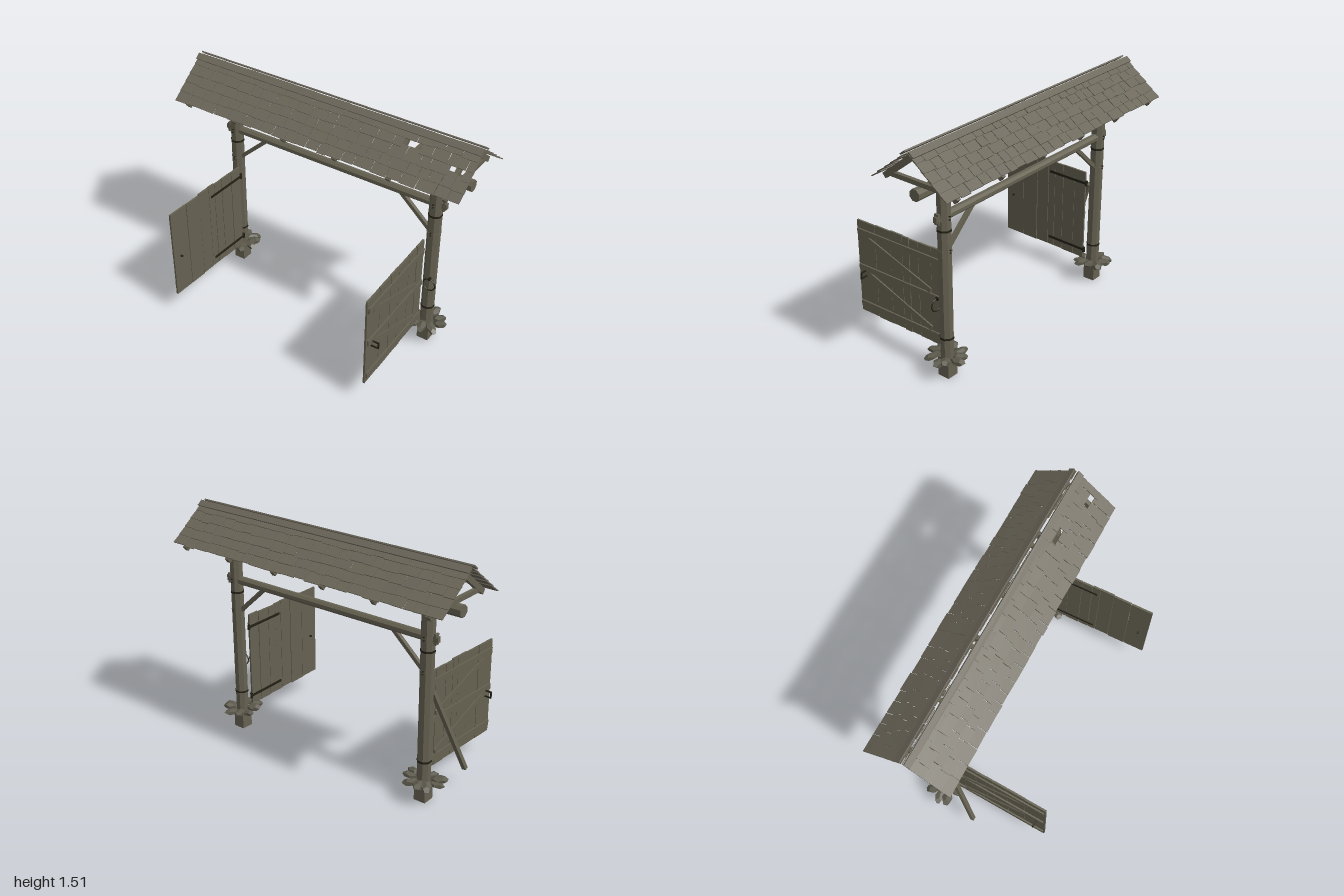
import * as THREE from 'three';

const mat = (name, color) => {
  const m = new THREE.MeshStandardMaterial({ color, flatShading: true });
  m.name = name;
  return m;
};

export function createModel() {
  const wood = mat('weathered wood', 0x656151);
  const shingleWood = mat('grey shingle wood', 0x6b6659);
  const stone = mat('stone', 0x5c594c);
  const iron = mat('dark iron', 0x222015);
  const root = new THREE.Group();
  root.name = 'gateway';
  const Z = -0.223; // plane of posts and ridge

  let seed = 7;
  const rnd = () => (seed = (seed * 16807) % 2147483647) / 2147483647;
  const jit = (a) => (rnd() - 0.5) * 2 * a;

  const group = (name, parent) => {
    const g = new THREE.Group();
    g.name = name;
    parent.add(g);
    return g;
  };
  const add = (parent, name, geo, m, x = 0, y = 0, z = 0) => {
    const mesh = new THREE.Mesh(geo, m);
    mesh.name = name;
    mesh.position.set(x, y, z);
    parent.add(mesh);
    return mesh;
  };
  const box = (parent, name, m, w, h, d, x, y, z) =>
    add(parent, name, new THREE.BoxGeometry(w, h, d), m, x, y, z);
  // Square timber running between two points
  const timber = (parent, name, m, a, b, w, d) => {
    const p = new THREE.Vector3(...a), q = new THREE.Vector3(...b);
    const mesh = box(parent, name, m, w, p.distanceTo(q), d, 0, 0, 0);
    mesh.position.copy(p).lerp(q, 0.5);
    mesh.quaternion.setFromUnitVectors(new THREE.Vector3(0, 1, 0), q.sub(p).normalize());
    return mesh;
  };
  // Eight-sided log with flats facing the axes
  const log = (r, len) => new THREE.CylinderGeometry(r, r, len, 8).rotateY(Math.PI / 8);

  // Horizontal beams
  add(root, 'topBeam', log(0.037, 1.9).rotateZ(Math.PI / 2), wood, 0, 1.24, Z);
  add(root, 'crossBeam', log(0.027, 1.42).rotateZ(Math.PI / 2), wood, 0, 1.035, Z);

  // One side of the gateway, built at +x and mirrored for the other
  const buildSide = (sign) => {
    const side = group(sign > 0 ? 'leftSide' : 'rightSide', root);
    side.scale.x = sign;

    add(side, 'post', log(0.042, 1.105), wood, 0.73, 0.6525, Z);
    box(side, 'postFoot', wood, 0.077, 0.13, 0.08, 0.73, 0.065, Z);
    for (const y of [0.26, 0.955])
      add(side, 'postBand', log(0.0445, 0.012), iron, 0.73, y, Z);
    add(side, 'postCollar', log(0.0445, 0.012), wood, 0.73, 0.828, Z);
    for (const y of [0.822, 0.838, 1.025, 1.045])
      box(side, 'postNail', iron, 0.008, 0.005, 0.096, 0.73, y, Z);

    // Through tenon with its locking wedge
    box(side, 'tenon', wood, 0.13, 0.036, 0.026, 0.737, 1.035, Z);
    box(side, 'wedge', wood, 0.014, 0.066, 0.03, 0.784, 1.035, Z);
    timber(side, 'brace', wood, [0.7, 0.833, Z], [0.495, 1.02, Z], 0.024, 0.024);

    // Ring of flat stones round the post
    const stones = group('footStones', side);
    for (let i = 0; i < 9; i++) {
      const a = (i / 9) * Math.PI * 2 + jit(0.12), r = 0.083 + jit(0.01);
      const s = add(stones, 'footStone', new THREE.DodecahedronGeometry(1, 0), stone,
        0.73 + Math.cos(a) * r, 0.132 + jit(0.012), Z + Math.sin(a) * r);
      s.scale.set(0.05 + jit(0.008), 0.021 + jit(0.004), 0.032 + jit(0.005));
      s.rotation.set(jit(0.25), -a + jit(0.3), jit(0.25));
    }

    // Open gate leaf, local z running out from the hinge
    const gate = group('gate', side);
    gate.position.set(0.692, 0, -0.172);
    gate.rotation.y = 0.03;
    const cuts = [0, 0.087, 0.182, 0.252, 0.307, 0.402, 0.522, 0.667];
    for (let i = 0; i < cuts.length - 1; i++) {
      const w = cuts[i + 1] - cuts[i], top = 0.781 + jit(0.005), low = 0.152 + jit(0.003);
      const p = box(gate, 'gatePlank', wood, 0.012, top - low, w - 0.003,
        jit(0.0015), (top + low) / 2, (cuts[i] + cuts[i + 1]) / 2);
      p.rotation.x = jit(0.002);
    }
    for (const y of [0.707, 0.465, 0.21])
      box(gate, 'gateRail', wood, 0.01, 0.038, 0.65, 0.011, y, 0.332);
    for (const [y0, y1] of [[0.678, 0.498], [0.437, 0.243]])
      timber(gate, 'gateDiagonal', wood, [0.01, y0, 0.6], [0.01, y1, 0.09], 0.009, 0.034);
    // Strap hinges and pintles
    for (const y of [0.703, 0.213]) {
      box(gate, 'strapHinge', iron, 0.005, 0.016, 0.3, -0.009, y, 0.14);
      add(gate, 'hingePin', new THREE.CylinderGeometry(0.009, 0.009, 0.035, 8), iron, -0.006, y, -0.008);
    }
    // Pull handle on the braced face, latch stub on the other
    for (const y of [0.412, 0.45])
      box(gate, 'handleArm', iron, 0.05, 0.007, 0.008, 0.031, y, 0.607);
    box(gate, 'handleGrip', iron, 0.008, 0.045, 0.009, 0.054, 0.431, 0.607);
    box(gate, 'latchStub', iron, 0.02, 0.01, 0.01, -0.012, 0.431, 0.607);
  };
  buildSide(1);
  buildSide(-1);

  // Iron ring hanging on one post, prop leaning on the other
  add(root, 'hangingRing', new THREE.TorusGeometry(0.041, 0.004, 6, 24), iron, 0.752, 0.462, -0.171);
  box(root, 'ringStaple', iron, 0.014, 0.014, 0.022, 0.752, 0.503, -0.176);
  timber(root, 'leaningProp', wood, [-0.845, 0.125, 0.04], [-0.735, 0.68, -0.165], 0.027, 0.025);

  // Roof frame and shingled slopes
  const roof = group('roof', root);
  roof.position.set(0, 1.49, Z);
  const pitch = Math.atan2(0.2, 0.255), slope = 0.336;
  const missing = [[1, 0.6], [2, 0.86]]; // row and x of lost shingles

  for (let i = 0; i < 6; i++)
    box(roof, 'tieBeam', wood, 0.024, 0.028, 0.42, -0.9 + i * 0.36, -0.2, 0);

  for (const front of [true, false]) {
    const turn = group(front ? 'frontSlope' : 'backSlope', roof);
    turn.rotation.y = front ? 0 : Math.PI;
    const plane = group('slopePlane', turn);
    plane.rotation.x = pitch; // local z runs down the slope
    for (let i = 0; i < 6; i++)
      box(plane, 'rafter', wood, 0.026, 0.034, slope, -0.9 + i * 0.36, -0.018, slope / 2 + 0.005);
    for (let row = 0; row < 5; row++) {
      const end = 0.08 + row * 0.064;
      let x = -0.995;
      while (x < 0.99) {
        let w = 0.06 + rnd() * 0.06;
        if (0.995 - x - w < 0.05) w = 0.995 - x;
        const x0 = x;
        x += w;
        if (front && missing.some(([r, h]) => r === row && h > x0 && h <= x)) continue;
        const len = Math.min(0.09, end - 0.004), e = end + jit(0.005);
        const s = box(plane, 'shingle', shingleWood, w - 0.004, 0.006, len,
          x0 + w / 2, 0.005 + jit(0.001), e - len / 2);
        s.rotation.set(-0.07 + jit(0.015), jit(0.02), jit(0.01));
      }
    }
    box(plane, 'ridgeBoard', shingleWood, 1.99, 0.009, 0.042, 0, 0.017, 0.024);
  }
  return root;
}
